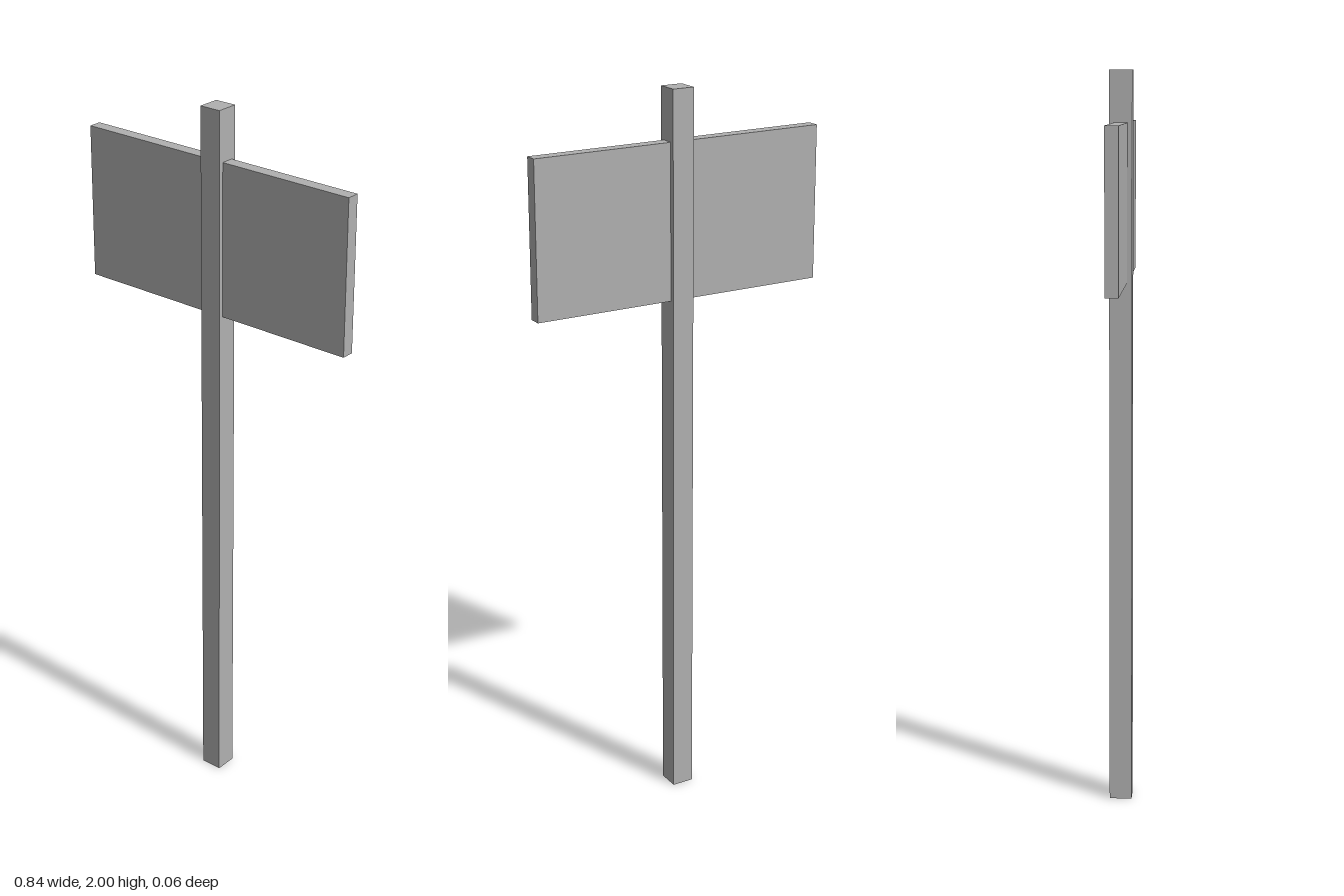
import * as THREE from 'three';

export function createModel() {
  const group = new THREE.Group();
  const grey = new THREE.MeshStandardMaterial({ color: 0xb0b0b0 });
  grey.name = 'grey';

  const addBox = (name, width, height, depth, centreY) => {
    const mesh = new THREE.Mesh(new THREE.BoxGeometry(width, height, depth), grey);
    mesh.name = name;
    mesh.position.y = centreY;
    group.add(mesh);
  };

  // Square upright, standing on the ground
  addBox('post', 0.061, 2, 0.061, 1);
  // Wide sign board passing through the post near its top
  addBox('signBoard', 0.84, 0.42, 0.035, 1.653);

  return group;
}
